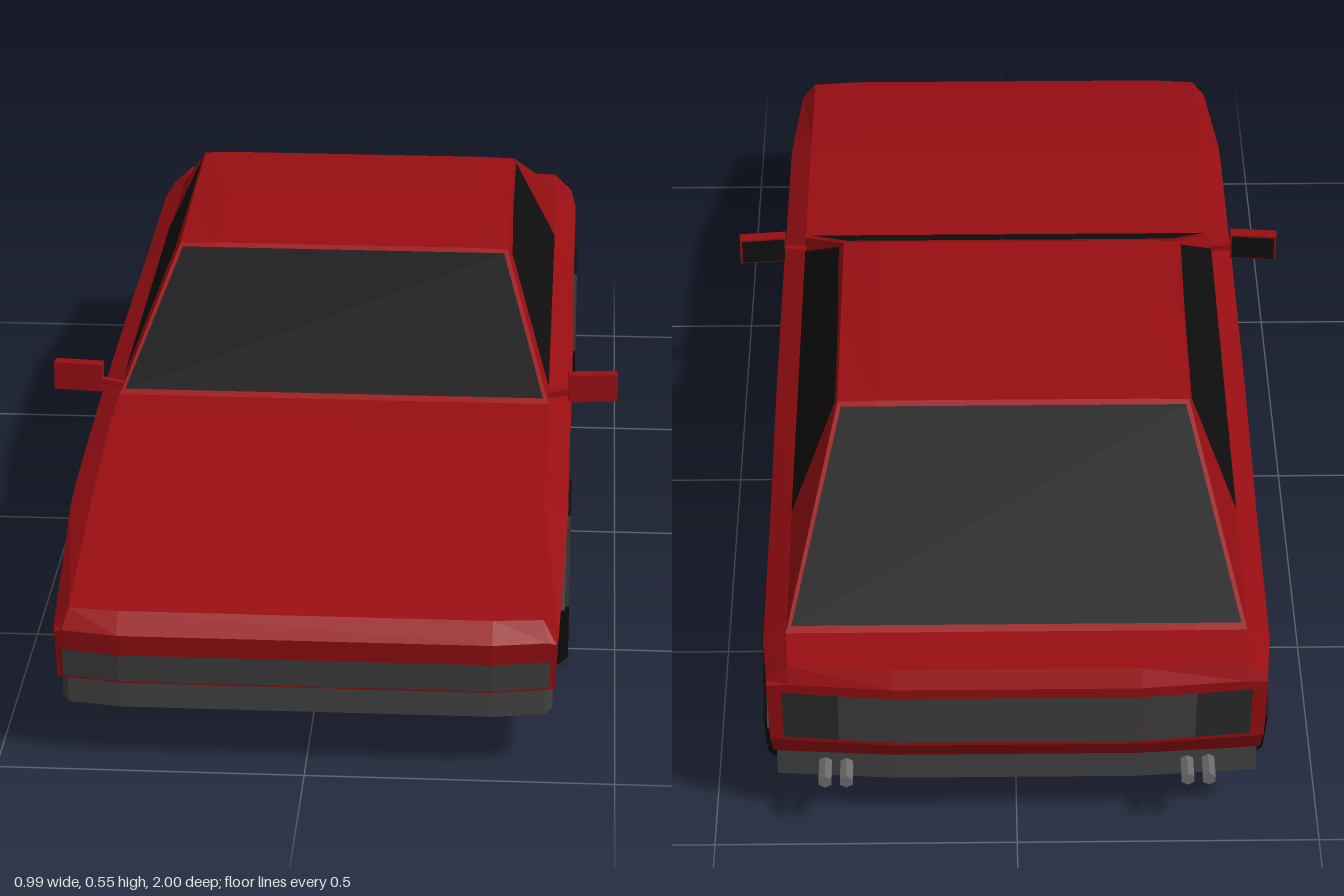
import * as THREE from 'three';

const mat = (name, color) => Object.assign(new THREE.MeshStandardMaterial({ color }), { name });

// Faceted geometry from a flat list of triangle corners
function faceted(corners) {
  const g = new THREE.BufferGeometry();
  g.setAttribute('position', new THREE.Float32BufferAttribute(corners.flat(), 3));
  g.computeVertexNormals();
  return g;
}

function flat(geometry) {
  const g = geometry.index ? geometry.toNonIndexed() : geometry;
  g.computeVertexNormals();
  return g;
}

// Skin over half sections (+x side, bottom to centre) listed from front to rear
function loft(halves) {
  const rows = halves.map(h => [...h, ...h.map(([x, y, z]) => [-x, y, z]).reverse()]);
  const out = [];
  for (let i = 0; i < rows.length - 1; i++) {
    for (let j = 0; j < rows[i].length - 1; j++) {
      const a = rows[i][j], b = rows[i][j + 1], c = rows[i + 1][j + 1], d = rows[i + 1][j];
      out.push(a, d, c, a, c, b);
    }
  }
  return faceted(out);
}

// Flat panel lifted slightly off the body, always facing outwards
function panel(points, lift = 0.003) {
  let p = points.map(q => new THREE.Vector3(...q));
  const normalOf = q => q[1].clone().sub(q[0]).cross(q[2].clone().sub(q[0])).normalize();
  if (normalOf(p).dot(p[0].clone().sub(new THREE.Vector3(0, 0.25, 0))) < 0) p.reverse();
  const n = normalOf(p);
  p = p.map(v => v.addScaledVector(n, lift).toArray());
  const out = [];
  for (let i = 1; i < p.length - 1; i++) out.push(p[0], p[i], p[i + 1]);
  return faceted(out);
}

// Side-on outline (symmetric in z) extruded across x, starting at x0
function acrossX(outline, width, x0) {
  const shape = new THREE.Shape(outline.map(([u, v]) => new THREE.Vector2(u, v)));
  return new THREE.ExtrudeGeometry(shape, { depth: width, bevelEnabled: false })
    .rotateY(Math.PI / 2).translate(x0, 0, 0);
}

export function createModel() {
  const car = new THREE.Group();
  car.name = 'car';
  const paint = mat('red paint', 0x980e12);
  const black = mat('black glass and rubber', 0x0f0f0f);
  const trim = mat('dark grey trim', 0x404040);
  const lamp = mat('dark lamp', 0x2a2a2a);
  const rim = mat('wheel grey', 0x6b6b6b);
  const add = (name, geometry, material, parent = car) => {
    const m = new THREE.Mesh(geometry, material);
    m.name = name;
    parent.add(m);
    return m;
  };
  const axles = [0.48, -0.7];

  // Body shell: z, lower y, shoulder x y, top x y, corner sweep, inner x
  const arch = z => [[0.172, 0.15], [0.098, 0.318], [-0.098, 0.318], [-0.172, 0.15]].map(([dz, y]) => [z + dz, y]);
  const topAt = z => z > 0.53 ? 0.355 - (z - 0.53) * 0.12 : 0.36;
  const shoulderAt = z => z > 0.5 ? 0.333 - (z - 0.5) * 0.14 : 0.33;
  const stations = [
    [0.985, 0.15, 0.395, 0.15, 0.385, 0.15, 0.02, 0.3],
    [1.0, 0.15, 0.402, 0.235, 0.39, 0.24, 0.02, 0.3],
    [0.97, 0.15, 0.405, 0.24, 0.38, 0.27, 0.01, 0.3],
    ...arch(axles[0]).map(([z, y]) => [z, y, 0.415, shoulderAt(z), 0.376, topAt(z), 0, 0.3]),
    [0.27, 0.15, 0.416, 0.33, 0.376, 0.36, 0, 0.25],
    [-0.2, 0.15, 0.416, 0.33, 0.376, 0.36, 0, 0.25],
    ...arch(axles[1]).map(([z, y]) => [z, y, 0.414, 0.328, 0.376, 0.36, 0, 0.2]),
    [-0.985, 0.15, 0.405, 0.328, 0.37, 0.36, -0.015, 0.2],
    [-1.0, 0.15, 0.405, 0.325, 0.37, 0.33, -0.02, 0.2],
    [-0.985, 0.15, 0.403, 0.2, 0.37, 0.2, -0.02, 0.2],
    [-0.95, 0.15, 0.4, 0.15, 0.37, 0.15, -0.015, 0.2],
  ];
  add('bodyShell', loft(stations.map(([z, yb, xs, ys, xt, yt, sweep, xm]) => {
    const end = Math.abs(z) > 0.94;
    const zb = end ? Math.sign(z) * (z > 0 ? 0.965 : 0.935) : z;
    const xb = 0.4 + (yb - 0.15) * 0.085;
    return [[xb, yb, zb], [xs, ys, z - sweep], [xt, yt, z - sweep * 0.8], [xm, yt, z]];
  })), paint);

  // Cabin
  add('cabin', loft([
    [0.27, 0.375, 0.36, 0.36], [-0.02, 0.295, 0.54, 0.542], [-0.25, 0.295, 0.547, 0.555],
    [-0.51, 0.295, 0.548, 0.55], [-0.89, 0.375, 0.36, 0.36],
  ].map(([z, x, y, crown]) => [[0.376, 0.36, z], [x, y, z], [x * 0.78, crown, z]])), paint);

  // Windows
  add('windscreen', panel([[0.366, 0.365, 0.262], [-0.366, 0.365, 0.262], [-0.289, 0.534, -0.01], [0.289, 0.534, -0.01]], 0.004), black);
  add('rearWindow', panel([[0.366, 0.365, -0.88], [-0.366, 0.365, -0.88], [-0.289, 0.543, -0.52], [0.289, 0.543, -0.52]], 0.004), black);
  const sideGlass = [[0.21, 0.368], [-0.02, 0.531], [-0.25, 0.54], [-0.5, 0.541], [-0.58, 0.368]];

  // Skirt and floor with wheel notches
  const half = [[0.3, 0.97], [0.385, 0.955], [0.397, 0.93]];
  for (const z of axles) half.push([0.397, z + 0.172], [0.26, z + 0.172], [0.26, z - 0.172], [0.397, z - 0.172]);
  half.push([0.395, -0.935], [0.2, -0.95]);
  const plan = [...half, ...half.map(([x, z]) => [-x, z]).reverse()];
  add('skirtAndFloor', new THREE.ExtrudeGeometry(
    new THREE.Shape(plan.map(p => new THREE.Vector2(...p))), { depth: 0.05, bevelEnabled: false })
    .rotateX(Math.PI / 2).translate(0, 0.15, 0), trim);

  // Front and rear panels follow the swept ends
  const noseZ = (x, y) => 0.985 + 0.015 * (y - 0.15) / 0.09 - 0.02 * Math.max(0, Math.abs(x) - 0.3) / 0.1;
  const tailZ = (x, y) => -0.985 - 0.015 * (y - 0.2) / 0.13 + 0.018 * Math.max(0, Math.abs(x) - 0.2) / 0.18;
  const strip = (x0, x1, y0, y1, zAt) =>
    panel([[x0, y0], [x1, y0], [x1, y1], [x0, y1]].map(([x, y]) => [x, y, zAt(x, y)]));
  add('frontBumper', strip(-0.3, 0.3, 0.155, 0.205, noseZ), trim);
  add('rearPanel', strip(-0.2, 0.2, 0.21, 0.312, tailZ), trim);

  // Wheel wells
  const well = [[-0.168, 0.12], [0.168, 0.12], [0.095, 0.316], [-0.095, 0.316]];
  const archTrim = [[-0.176, 0.145], [-0.164, 0.145], [-0.092, 0.312], [0.092, 0.312],
    [0.164, 0.145], [0.176, 0.145], [0.1, 0.324], [-0.1, 0.324]];

  const tyreProfile = [[0, -0.075], [0.151, -0.075], [0.163, -0.06], [0.163, 0.06], [0.151, 0.075],
    [0.116, 0.075], [0.11, 0.062], [0, 0.062]].map(p => new THREE.Vector2(...p));
  const tyre = flat(new THREE.LatheGeometry(tyreProfile, 6));
  const hub = flat(new THREE.CylinderGeometry(0.112, 0.112, 0.02, 6).translate(0, 0.056, 0));

  axles.forEach((z, i) => {
    add('wheelWell', acrossX(well, 0.52, -0.26), black).position.z = z;
    for (const s of [1, -1]) {
      add('archTrim', acrossX(archTrim, 0.163, s > 0 ? 0.25 : -0.413), trim).position.z = z;
      const wheel = new THREE.Group();
      wheel.name = (i ? 'rear' : 'front') + (s > 0 ? 'Left' : 'Right') + 'Wheel';
      wheel.position.set(s * 0.345, 0.1415, z);
      wheel.rotation.z = -s * Math.PI / 2;
      add('tyre', tyre, black, wheel);
      add('hub', hub, rim, wheel);
      car.add(wheel);
    }
  });

  // Parts repeated on each side
  for (const s of [1, -1]) {
    const side = s > 0 ? 'left' : 'right';
    add(side + 'SideWindow', panel(sideGlass.map(([z, y]) => [s * (0.375 - (y - 0.36) * 0.437), y, z]), 0.004), black);
    add(side + 'FrontLamp', strip(s * 0.3, s * 0.39, 0.155, 0.205, noseZ), trim);
    add(side + 'RearPanelEnd', strip(s * 0.2, s * 0.29, 0.21, 0.312, tailZ), trim);
    add(side + 'RearLamp', strip(s * 0.29, s * 0.38, 0.21, 0.312, tailZ), lamp);

    // Door mirror
    const mirror = new THREE.Group();
    mirror.name = side + 'Mirror';
    mirror.position.set(s * 0.453, 0.374, 0.217);
    mirror.rotation.y = s * 0.1;
    add('mirrorHousing', new THREE.BoxGeometry(0.085, 0.05, 0.022), paint, mirror);
    add('mirrorGlass', new THREE.BoxGeometry(0.078, 0.044, 0.004), black, mirror).position.z = -0.012;
    const arm = add('mirrorArm', new THREE.BoxGeometry(0.06, 0.01, 0.012), paint, mirror);
    arm.position.set(-s * 0.062, -0.01, 0.002);
    arm.rotation.z = s * 0.15;
    car.add(mirror);

    // Twin exhausts
    for (const x of [0.28, 0.315]) {
      const pipe = add(side + 'Exhaust', flat(new THREE.CylinderGeometry(0.012, 0.012, 0.06, 6).rotateX(Math.PI / 2)), rim);
      pipe.position.set(s * x, 0.127, -0.96);
    }
  }
  return car;
}
